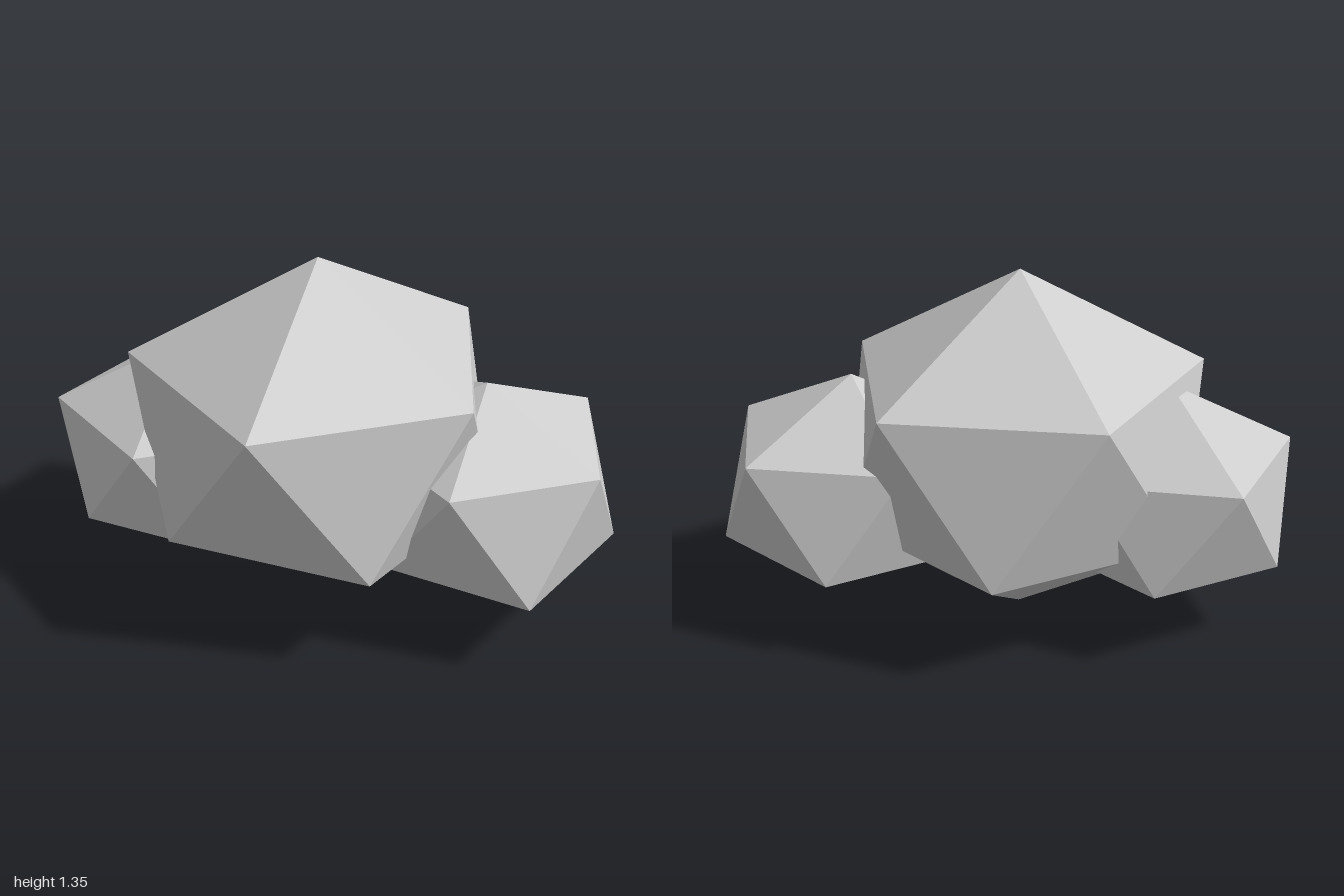
import * as THREE from 'three';

// Twenty-sided boulder: two poles and two staggered five-point rings.
// Each ring entry is [radius, height], at 72 degree steps from +x towards +z.
function boulderGeometry(x, z, top, bottom, upper, lower) {
  const ring = (points, offset) => points.map(([r, y], i) => {
    const a = THREE.MathUtils.degToRad(72 * i + offset);
    return [x + r * Math.cos(a), y, z + r * Math.sin(a)];
  });
  const u = ring(upper, 0), l = ring(lower, 36);
  const apex = [x, top, z], base = [x, bottom, z];
  const corners = [];
  for (let i = 0; i < 5; i++) {
    const j = (i + 1) % 5;
    corners.push(apex, u[j], u[i]);
    corners.push(u[i], u[j], l[i]);
    corners.push(l[i], u[j], l[j]);
    corners.push(base, l[i], l[j]);
  }
  const geometry = new THREE.BufferGeometry();
  geometry.setAttribute('position', new THREE.Float32BufferAttribute(corners.flat(), 3));
  geometry.computeVertexNormals();
  return geometry;
}

export function createModel() {
  const group = new THREE.Group();
  group.name = 'rockCluster';
  const stone = new THREE.MeshStandardMaterial({ color: 0xcccccc, flatShading: true });
  stone.name = 'stone grey';

  const add = (name, ...shape) => {
    const mesh = new THREE.Mesh(boulderGeometry(...shape), stone);
    mesh.name = name;
    group.add(mesh);
  };

  // Large middle boulder
  add('middleBoulder', -0.04, 0.033, 1.35, 0,
    [[0.67, 0.96], [0.68, 0.965], [0.69, 0.965], [0.64, 0.965], [0.685, 0.97]],
    [[0.652, 0.395], [0.647, 0.4], [0.65, 0.39], [0.635, 0.39], [0.65, 0.39]]);

  // Smaller boulder on the left, set back
  add('leftBoulder', 0.525, -0.215, 0.935, 0.1,
    [[0.475, 0.715], [0.447, 0.703], [0.46, 0.71], [0.46, 0.71], [0.495, 0.72]],
    [[0.5, 0.295], [0.45, 0.32], [0.47, 0.31], [0.478, 0.31], [0.5, 0.305]]);

  // Smaller boulder on the right, set forward
  add('rightBoulder', -0.55, 0.225, 0.935, 0.08,
    [[0.45, 0.68], [0.418, 0.665], [0.47, 0.69], [0.485, 0.69], [0.45, 0.68]],
    [[0.45, 0.3], [0.422, 0.308], [0.45, 0.295], [0.445, 0.3], [0.45, 0.3]]);

  return group;
}
